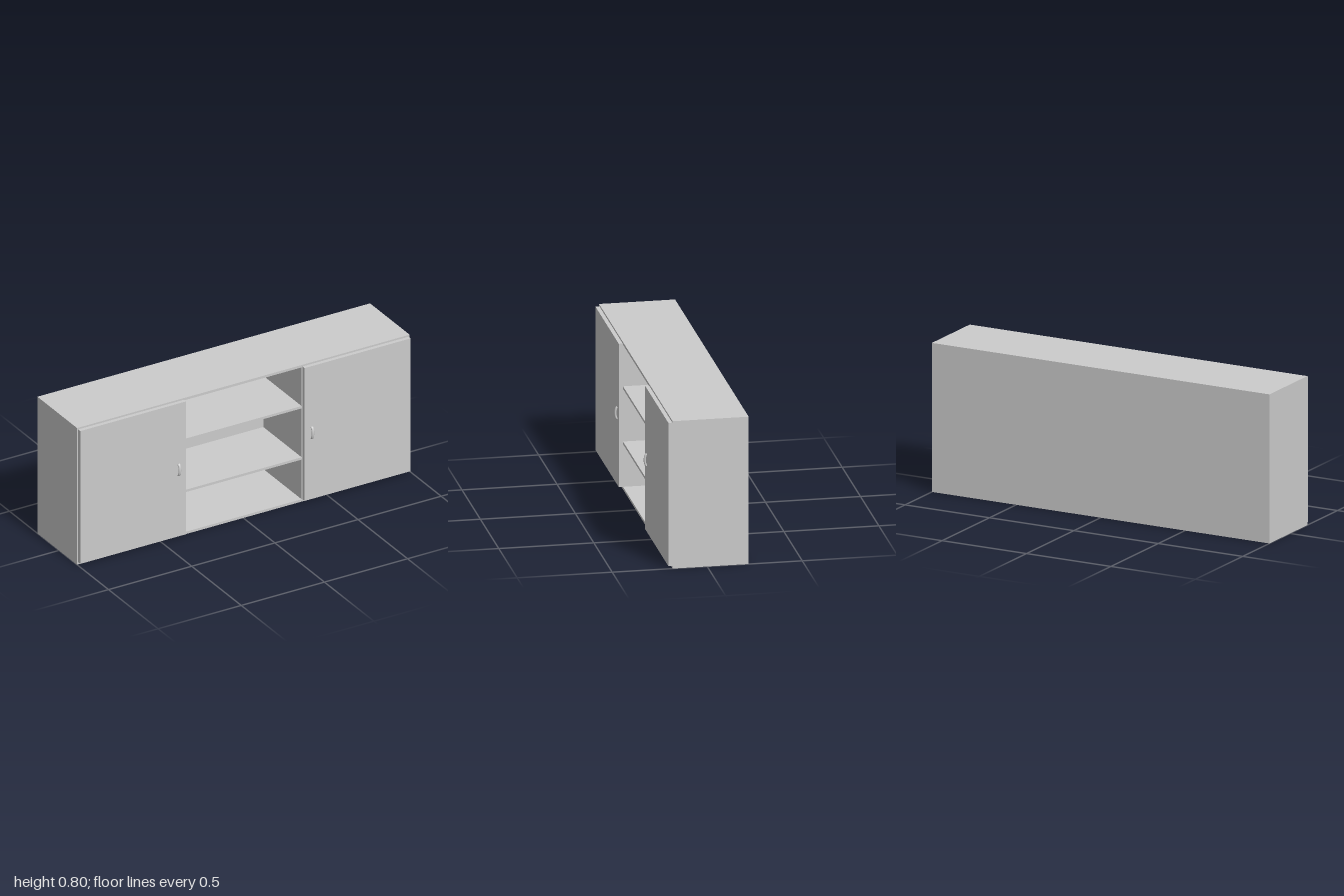
import * as THREE from 'three';

const material = new THREE.MeshStandardMaterial({ color: 0xcccccc });

// Box given by its minimum and maximum corners
function panel(name, [x0, y0, z0], [x1, y1, z1]) {
  const mesh = new THREE.Mesh(new THREE.BoxGeometry(x1 - x0, y1 - y0, z1 - z0), material);
  mesh.name = name;
  mesh.position.set((x0 + x1) / 2, (y0 + y1) / 2, (z0 + z1) / 2);
  return mesh;
}

// Bowed pull handle: half an ellipse swept by a round bar
function handle(name, x) {
  const points = [];
  for (let i = 0; i <= 12; i++) {
    const a = (i / 12 - 0.5) * Math.PI;
    points.push(new THREE.Vector3(0, 0.031 * Math.sin(a), 0.0105 * Math.cos(a)));
  }
  const curve = new THREE.CatmullRomCurve3(points);
  const mesh = new THREE.Mesh(new THREE.TubeGeometry(curve, 32, 0.006, 12), material);
  mesh.name = name;
  mesh.scale.x = 1.3;
  mesh.position.set(x, 0.401, 0.202);
  return mesh;
}

export function createModel() {
  const group = new THREE.Group();
  group.name = 'sideboard';
  const t = 0.014, back = -0.218, front = 0.182, height = 0.8;

  // Carcass
  group.add(
    panel('bottomPanel', [-1, 0, back], [1, t, front]),
    panel('topPanel', [-1, height - t, back], [1, height, front]),
    panel('backPanel', [-1 + t, t, back], [1 - t, height - t, back + t]),
  );

  // Side walls, dividers, doors and handles, mirrored
  for (const [side, s] of [['left', 1], ['right', -1]]) {
    const mirrored = (name, a, b, y0, y1, z0, z1) =>
      panel(side + name, [Math.min(s * a, s * b), y0, z0], [Math.max(s * a, s * b), y1, z1]);
    group.add(
      mirrored('SideWall', 1 - t, 1, t, height - t, back, front),
      mirrored('Divider', 0.35, 0.364, t, height - t, back + t, front),
      mirrored('Door', 0.356, 0.993, 0.012, 0.79, front, 0.203),
      handle(side + 'Handle', s * 0.4),
    );
  }

  // Open shelves in the middle bay
  for (const [i, y] of [0.246, 0.546].entries()) {
    group.add(panel('shelf' + (i + 1), [-0.35, y, back + t], [0.35, y + t, front]));
  }
  return group;
}
